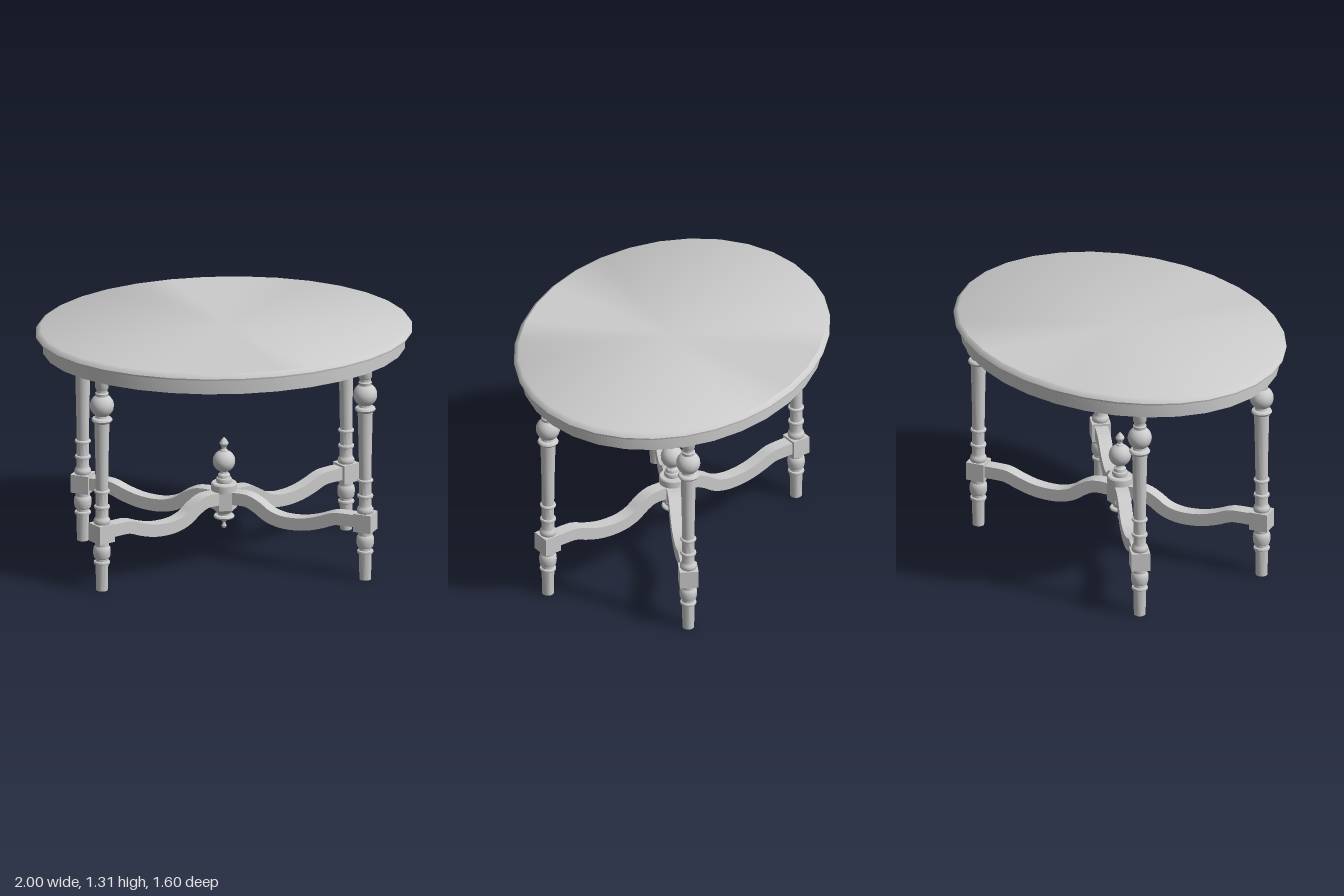
import * as THREE from 'three';
import { toCreasedNormals } from 'three/addons/utils/BufferGeometryUtils.js';

const material = new THREE.MeshStandardMaterial({ color: 0xcccccc });
const LEG_X = 0.7, LEG_Z = 0.405;

function part(name, geometry, parent, crease = 0.6) {
  const mesh = new THREE.Mesh(toCreasedNormals(geometry, crease), material);
  mesh.name = name;
  parent.add(mesh);
  return mesh;
}

// Turned shape from [radius, height] pairs, listed from bottom to top
function turned(profile, segments = 20) {
  return new THREE.LatheGeometry(profile.map(([r, y]) => new THREE.Vector2(r, y)), segments);
}

// Points of a ball cut open at both poles
function ball(radius, y, from = -70, to = 70, steps = 10) {
  return Array.from({ length: steps + 1 }, (_, i) => {
    const a = THREE.MathUtils.degToRad(from + (to - from) * i / steps);
    return [radius * Math.cos(a), y + radius * Math.sin(a)];
  });
}

const LEG_LOWER = [
  [0, 0], [0.031, 0], [0.034, 0.145], [0.042, 0.148], [0.044, 0.155], [0.042, 0.162], [0.034, 0.165],
  [0.034, 0.178], [0.042, 0.184], [0.046, 0.2], [0.047, 0.22], [0.045, 0.238], [0.038, 0.248],
  [0.038, 0.275], [0, 0.275],
];
const LEG_UPPER = [
  [0, 0.365], [0.036, 0.365], [0.043, 0.375], [0.045, 0.387], [0.042, 0.398], [0.036, 0.405], [0.034, 0.415],
  [0.034, 0.455], [0.041, 0.458], [0.043, 0.465], [0.041, 0.472], [0.033, 0.475],
  [0.033, 0.543], [0.041, 0.546], [0.043, 0.552], [0.041, 0.558], [0.033, 0.561],
  [0.035, 0.72], [0.04, 0.92], [0.041, 0.935], [0.051, 0.942], [0.056, 0.951], [0.051, 0.96], [0.036, 0.965],
  ...ball(0.064, 1.03, -58, 58),
  [0.034, 1.092], [0.036, 1.1], [0.03, 1.106], [0.03, 1.12], [0.036, 1.13], [0.038, 1.195], [0, 1.195],
];
const PENDANT = [
  [0, 0.175], [0.009, 0.178], [0.014, 0.189], [0.009, 0.2], [0.009, 0.212], [0.02, 0.222], [0.032, 0.23],
  [0.052, 0.236], [0.056, 0.243], [0.052, 0.25], [0.034, 0.253], [0.034, 0.262], [0.05, 0.275], [0.06, 0.295], [0, 0.295],
];
const FINIAL = [
  [0, 0.385], [0.068, 0.385], [0.069, 0.425], [0.064, 0.432], [0.04, 0.433], [0.043, 0.445], [0.04, 0.457],
  [0.034, 0.46], [0.032, 0.475], [0.022, 0.485], [0.022, 0.494],
  ...ball(0.06, 0.55),
  [0.019, 0.612], [0.012, 0.617], [0.012, 0.628], [0.021, 0.64], [0.024, 0.65], [0.017, 0.664], [0.008, 0.676], [0, 0.684],
];

// Wavy bar running along +x, thickened evenly on both sides of its centre line
function stretcherGeometry(height, width) {
  const line = new THREE.CatmullRomCurve3([
    [0.04, 0.355], [0.14, 0.355], [0.2, 0.328], [0.26, 0.288], [0.33, 0.266], [0.4, 0.262],
    [0.48, 0.27], [0.56, 0.292], [0.64, 0.322], [0.69, 0.326], [0.79, 0.326],
  ].map(([d, y]) => new THREE.Vector3(d, y, 0)), false, 'centripetal');
  const upper = [], lower = [];
  for (let i = 0; i <= 32; i++) {
    const p = line.getPoint(i / 32), t = line.getTangent(i / 32);
    const n = new THREE.Vector2(-t.y, t.x).multiplyScalar(height / 2);
    upper.push(new THREE.Vector2(p.x + n.x, p.y + n.y));
    lower.push(new THREE.Vector2(p.x - n.x, p.y - n.y));
  }
  const shape = new THREE.Shape([...lower, ...upper.reverse()]);
  return new THREE.ExtrudeGeometry(shape, { depth: width, bevelEnabled: false }).translate(0, 0, -width / 2);
}

export function createModel() {
  const table = new THREE.Group();
  table.name = 'ovalTable';

  // Oval apron and bevelled top
  const apron = turned([[0, 1.19], [0.962, 1.19], [0.962, 1.276], [0, 1.276]], 32);
  part('apron', apron.scale(1, 1, 0.8), table);
  const top = turned([[0, 1.275], [0.998, 1.275], [1, 1.284], [0.988, 1.299], [0.972, 1.308], [0, 1.308]], 32);
  part('tableTop', top.scale(1, 1, 0.8), table);

  // Four legs, each with a block turned towards the centre and a stretcher
  for (const sx of [-1, 1]) {
    for (const sz of [-1, 1]) {
      const x = sx * LEG_X, z = sz * LEG_Z;
      const angle = -Math.atan2(z, x);
      const leg = new THREE.Group();
      leg.name = (sz > 0 ? 'front' : 'back') + (sx > 0 ? 'Left' : 'Right') + 'Leg';
      leg.position.set(x, 0, z);
      part('legFoot', turned(LEG_LOWER), leg);
      part('legShaft', turned(LEG_UPPER), leg);
      const block = part('legBlock', new THREE.BoxGeometry(0.1, 0.1, 0.1), leg);
      block.position.y = 0.322;
      block.rotation.y = angle;
      table.add(leg);
      part('stretcher', stretcherGeometry(0.068, 0.07), table).rotation.y = angle;
    }
  }

  // Six-sided hub where the stretchers meet, with pendant and finial
  const hub = new THREE.CylinderGeometry(0.07, 0.07, 0.1, 6).rotateY(Math.PI / 6);
  part('hub', hub.translate(0, 0.339, 0), table);
  part('pendant', turned(PENDANT), table);
  part('finial', turned(FINIAL), table);

  return table;
}
